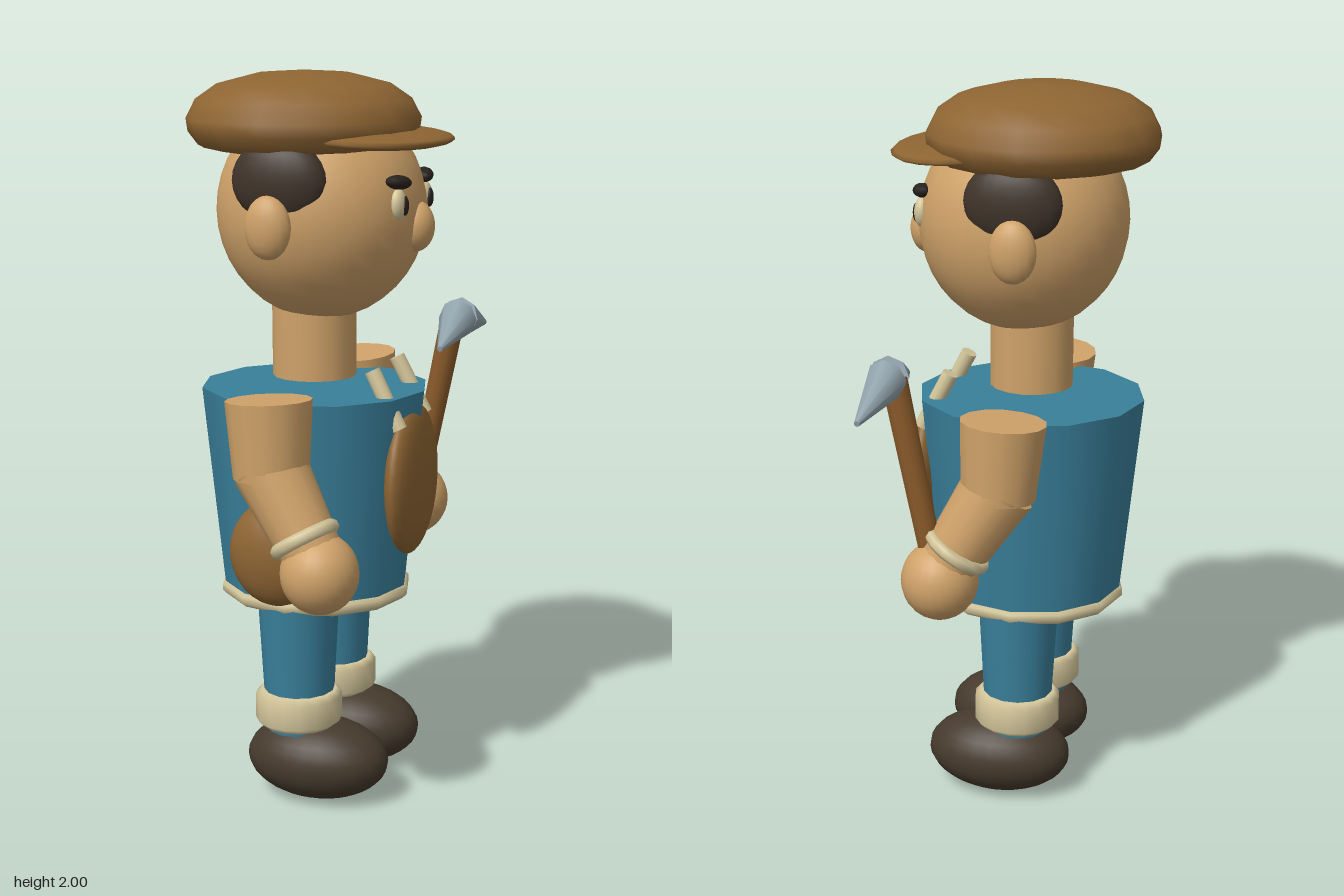
import * as THREE from 'three';

const mat = (name, color) => Object.assign(new THREE.MeshStandardMaterial({ color }), { name });

export function createModel() {
  const skin = mat('skin', 0xcfa269);
  const brown = mat('brown leather', 0x8e6533);
  const blue = mat('blue cloth', 0x3a809b);
  const cream = mat('cream trim', 0xd6c89c);
  const boot = mat('boot brown', 0x463a2d);
  const hair = mat('dark hair', 0x40342a);
  const black = mat('black', 0x28221e);
  const wood = mat('wood', 0x8a5a2a);
  const metal = mat('metal', 0x93a5ae);

  const figure = new THREE.Group();
  figure.name = 'figure';

  const add = (name, geometry, material, pos = [0, 0, 0], parent = figure) => {
    const mesh = new THREE.Mesh(geometry, material);
    mesh.name = name;
    mesh.position.set(...pos);
    parent.add(mesh);
    return mesh;
  };
  // Ellipsoid from centre and radii
  const ball = (name, material, pos, radii, w = 24, h = 16) =>
    add(name, new THREE.SphereGeometry(1, w, h).scale(...radii), material, pos);
  // Tapered rod from point a (radius ra) to point b (radius rb)
  const rod = (name, material, a, b, ra, rb, sides = 14) => {
    const va = new THREE.Vector3(...a), vb = new THREE.Vector3(...b);
    const dir = vb.clone().sub(va);
    const mesh = add(name, new THREE.CylinderGeometry(rb, ra, dir.length(), sides), material);
    mesh.position.copy(va).add(vb).multiplyScalar(0.5);
    mesh.quaternion.setFromUnitVectors(new THREE.Vector3(0, 1, 0), dir.normalize());
    return mesh;
  };
  // Closed ring-like band with softened edges
  const band = (r, h, bevel, sides = 14) => new THREE.LatheGeometry([
    [0, -h / 2], [r - bevel, -h / 2], [r, -h / 2 + bevel], [r, h / 2 - bevel], [r - bevel, h / 2], [0, h / 2],
  ].map(p => new THREE.Vector2(...p)), sides);

  // Torso and belt, slightly deeper than wide
  add('torso', new THREE.CylinderGeometry(0.305, 0.25, 0.575, 12), blue, [0, 0.8625, 0]).scale.set(0.98, 1, 1.03);
  add('belt', band(0.26, 0.042, 0.012, 12), cream, [0, 0.578, 0]).scale.set(0.98, 1, 1.03);
  ball('chestPocket', brown, [0, 0.905, 0.28], [0.185, 0.21, 0.05]);
  ball('hipPouch', brown, [-0.29, 0.745, -0.005], [0.075, 0.145, 0.13]);

  // Head
  add('neck', new THREE.CylinderGeometry(0.115, 0.115, 0.24, 16), skin, [0, 1.298, 0]);
  ball('head', skin, [0, 1.635, 0.025], [0.29, 0.298, 0.283], 28, 20);
  ball('nose', skin, [0, 1.597, 0.29], [0.055, 0.068, 0.05]);

  // Cap with visor
  const cap = [[0, 1.795], [0.24, 1.792], [0.295, 1.805], [0.322, 1.84], [0.327, 1.875], [0.3, 1.925],
    [0.24, 1.965], [0.13, 1.992], [0, 2]].map(p => new THREE.Vector2(...p));
  add('cap', new THREE.LatheGeometry(cap, 16), brown, [0, 0, -0.025]).scale.z = 0.96;
  const visor = ball('capVisor', brown, [0, 1.828, 0.19], [0.28, 0.027, 0.19], 20, 10);
  visor.rotation.x = 0.04;

  // Paired parts: s = 1 is the left side
  for (const s of [-1, 1]) {
    const side = s > 0 ? 'left' : 'right';
    ball(side + 'Ear', skin, [s * 0.302, 1.615, -0.012], [0.04, 0.083, 0.063], 16, 12);
    ball(side + 'Hair', hair, [s * 0.25, 1.73, 0], [0.057, 0.11, 0.13], 20, 14);
    ball(side + 'Eye', cream, [s * 0.113, 1.665, 0.276], [0.031, 0.042, 0.022], 16, 12);
    ball(side + 'Pupil', black, [s * 0.108, 1.662, 0.294], [0.015, 0.026, 0.01], 12, 10);
    const brow = ball(side + 'Eyebrow', black, [s * 0.11, 1.722, 0.277], [0.046, 0.019, 0.026], 12, 8);
    brow.rotation.set(0, s * 0.35, s * 0.1);
    rod(side + 'Strap', cream, [s * 0.112, 1.065, 0.282], [s * 0.105, 1.22, 0.203], 0.022, 0.022, 10);

    // Arm
    rod(side + 'UpperArm', skin, [s * 0.352, 0.97, 0.01], [s * 0.34, 1.175, 0], 0.1, 0.115);
    rod(side + 'Forearm', skin, [s * 0.39, 0.78, 0.14], [s * 0.352, 1.0, 0.005], 0.08, 0.1);
    const cuff = add(side + 'WristBand', band(0.096, 0.036, 0.01), cream, [s * 0.382, 0.822, 0.113]);
    cuff.quaternion.setFromUnitVectors(new THREE.Vector3(0, 1, 0),
      new THREE.Vector3(s * -0.038, 0.22, -0.135).normalize());
    ball(side + 'Hand', skin, [s * 0.395, 0.737, 0.158], [0.104, 0.108, 0.104]);

    // Leg
    rod(side + 'Leg', blue, [s * 0.14, 0.2, 0], [s * 0.14, 0.57, 0], 0.092, 0.112);
    add(side + 'BootCuff', band(0.12, 0.1, 0.016, 16), cream, [s * 0.145, 0.265, 0]);
    ball(side + 'Boot', boot, [s * 0.138, 0.115, 0.053], [0.134, 0.115, 0.203]);

    // Pick point: a cone drooping outwards from the handle
    const point = rod(side + 'PickPoint', metal, [0.394 + s * 0.008, 1.285, 0.295],
      [0.394 + s * 0.228, 1.235, 0.308], 0.058, 0.008, 8);
    point.scale.z = 0.95;
  }
  rod('pickHandle', wood, [0.39, 0.72, 0.165], [0.386, 1.285, 0.28], 0.031, 0.036, 10);

  // The figure is turned toward its left front
  figure.rotation.y = Math.PI / 4;
  figure.position.set(-0.155, 0, -0.065);
  const model = new THREE.Group();
  model.name = 'capped miner';
  model.add(figure);
  return model;
}
